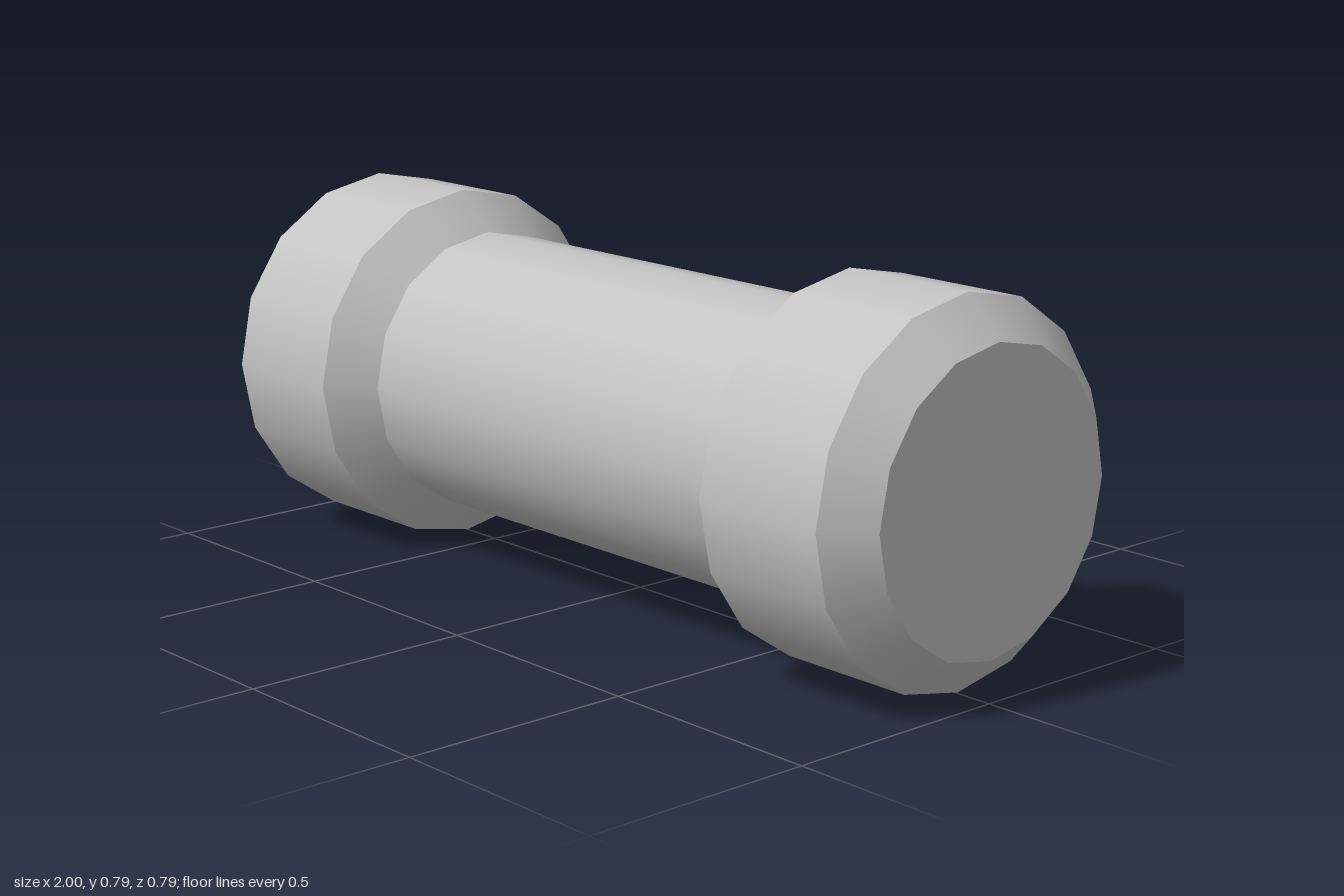
import * as THREE from 'three';

const SIDES = 16;
const AXIS_Y = 0.396;

export function createModel() {
  const model = new THREE.Group();
  const grey = new THREE.MeshStandardMaterial({ color: 0xc4c4c4 });
  grey.name = 'grey';

  // Smooth open band along x, running from (x0, r0) to (x1, r1)
  function band(name, parent, [x0, r0], [x1, r1]) {
    const geo = new THREE.CylinderGeometry(r1, r0, x1 - x0, SIDES, 1, true);
    geo.rotateZ(-Math.PI / 2);
    geo.translate((x0 + x1) / 2, 0, 0);
    const mesh = new THREE.Mesh(geo, grey);
    mesh.name = name;
    parent.add(mesh);
  }

  // Flat disc closing an end, facing +x or -x
  function cap(name, parent, x, r, side) {
    const geo = new THREE.CircleGeometry(r, SIDES);
    geo.rotateY(side * Math.PI / 2);
    geo.translate(x, 0, 0);
    const mesh = new THREE.Mesh(geo, grey);
    mesh.name = name;
    parent.add(mesh);
  }

  // Bevelled weight: profile points ordered by increasing x
  function weight(name, profile, side) {
    const group = new THREE.Group();
    group.name = name;
    const names = side > 0
      ? ['innerBevel', 'rim', 'outerBevel']
      : ['outerBevel', 'rim', 'innerBevel'];
    names.forEach((n, i) => band(n, group, profile[i], profile[i + 1]));
    const end = side > 0 ? profile[3] : profile[0];
    cap('endCap', group, end[0], end[1], side);
    model.add(group);
  }

  weight('rightWeight', [[-1, 0.29], [-0.913, 0.395], [-0.6, 0.395], [-0.515, 0.31]], -1);
  weight('leftWeight', [[0.538, 0.31], [0.61, 0.393], [0.92, 0.393], [1, 0.31]], 1);

  // Handle between the weights
  band('handle', model, [-0.515, 0.31], [0.538, 0.31]);

  model.children.forEach((part) => { part.position.y = AXIS_Y; });
  return model;
}
